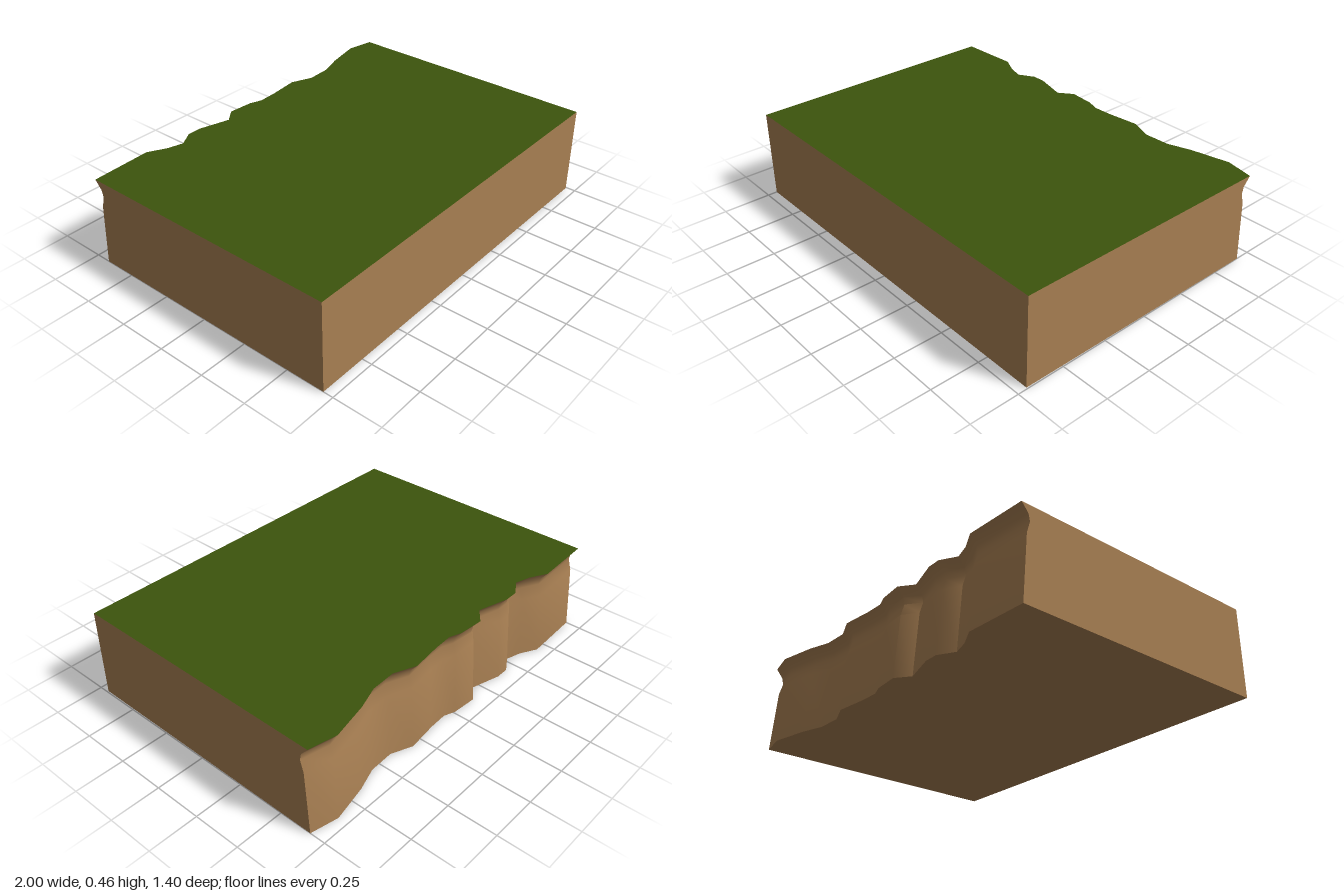
import * as THREE from 'three';
import { toCreasedNormals } from 'three/addons/utils/BufferGeometryUtils.js';

const HEIGHT = 0.464, FRONT = 0.7;

// ragged back edge in plan: [x, z]
const edge = [
  [-1, -0.67], [-0.69, -0.683], [-0.6, -0.635], [-0.52, -0.612], [-0.44, -0.66], [-0.37, -0.66],
  [-0.21, -0.615], [-0.14, -0.67], [-0.01, -0.66], [0.05, -0.638], [0.15, -0.642], [0.31, -0.66],
  [0.42, -0.615], [0.55, -0.62], [0.67, -0.66], [0.86, -0.7], [1, -0.67],
];

// cliff profile from the overhanging lip down: [y, inset]
const profile = [[HEIGHT, 0], [0.42, 0.036], [0.385, 0.043], [0.325, 0.025], [0, 0]];

// the right side leans in slightly towards the front
const rightX = (z) => 1 - 0.007 * (z + 0.67) / (FRONT + 0.67);

function shapeFrom(points) {
  return new THREE.ShapeGeometry(new THREE.Shape(points.map(([a, b]) => new THREE.Vector2(a, b))));
}

// cliff surface swept along the edge
function cliffGeometry() {
  const positions = [], index = [], rows = profile.length;
  for (const [x, z] of edge) {
    for (const [y, inset] of profile) positions.push(x, y, z + inset);
  }
  for (let i = 0; i < edge.length - 1; i++) {
    for (let j = 0; j < rows - 1; j++) {
      const a = i * rows + j, b = a + rows;
      index.push(a, b, a + 1, b, b + 1, a + 1);
    }
  }
  const g = new THREE.BufferGeometry();
  g.setAttribute('position', new THREE.Float32BufferAttribute(positions, 3));
  g.setIndex(index);
  return toCreasedNormals(g, 0.75);
}

export function createModel() {
  const grass = new THREE.MeshStandardMaterial({ color: 0x3d540d });
  grass.name = 'grass green';
  const earth = new THREE.MeshStandardMaterial({ color: 0xa98053 });
  earth.name = 'earth brown';

  const group = new THREE.Group();
  group.name = 'cliffBlock';
  const add = (name, geometry, material) => {
    const mesh = new THREE.Mesh(geometry, material);
    mesh.name = name;
    group.add(mesh);
  };

  // grass top and flat underside share one outline
  const outline = [...edge, [rightX(FRONT), FRONT], [-1, FRONT]];
  const top = shapeFrom(outline.map(([x, z]) => [x, -z])).rotateX(-Math.PI / 2).translate(0, HEIGHT, 0);
  add('grassTop', top, grass);
  add('underside', shapeFrom(outline).rotateX(Math.PI / 2), earth);

  // flat front
  const w = 1 + rightX(FRONT);
  add('frontWall', new THREE.PlaneGeometry(w, HEIGHT).translate(w / 2 - 1, HEIGHT / 2, FRONT), earth);

  // end walls follow the cliff profile
  for (const side of [-1, 1]) {
    const backZ = edge[side < 0 ? 0 : edge.length - 1][1];
    const section = [[FRONT, 0], [FRONT, HEIGHT], ...profile.map(([y, inset]) => [backZ + inset, y])];
    let wall = shapeFrom(section.map(([z, y]) => [-side * z, y])).rotateY(side * Math.PI / 2);
    const p = wall.attributes.position;
    for (let i = 0; i < p.count; i++) p.setX(i, side < 0 ? -1 : rightX(p.getZ(i)));
    wall = wall.toNonIndexed();
    wall.computeVertexNormals();
    add(side < 0 ? 'rightEndWall' : 'leftEndWall', wall, earth);
  }

  add('cliffFace', cliffGeometry(), earth);
  return group;
}
